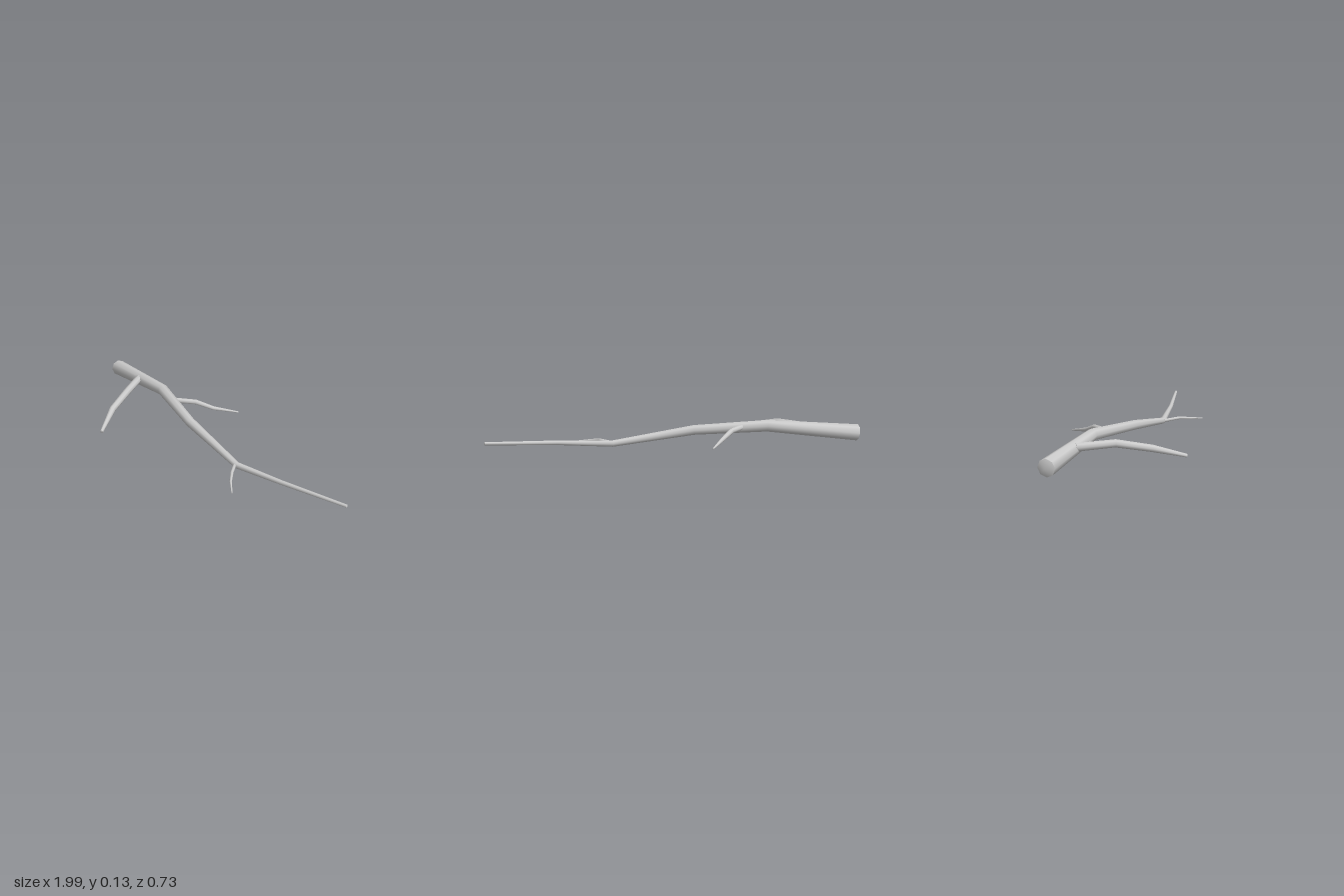
import * as THREE from 'three';
import { mergeVertices } from 'three/addons/utils/BufferGeometryUtils.js';

const SIDES = 8;
const UP = new THREE.Vector3(0, 1, 0);

// Tapered limb through joints given as [x, y, z, radius], with slightly domed end caps
function limb(name, joints, material, dome = 0.4) {
  const last = joints.length - 1;
  const centres = joints.map(([x, y, z]) => new THREE.Vector3(x, y, z));
  const frames = centres.map((c, i) => {
    const inDir = c.clone().sub(centres[Math.max(i - 1, 0)]).normalize();
    const outDir = centres[Math.min(i + 1, last)].clone().sub(c).normalize();
    const along = inDir.add(outDir).normalize();
    const side = along.clone().cross(UP).normalize();
    return { along, side, over: side.clone().cross(along) };
  });

  // Bend a unit cylinder so each of its rings sits on one joint
  let geometry = new THREE.CylinderGeometry(1, 1, 1, SIDES, last);
  geometry.deleteAttribute('uv');
  geometry = mergeVertices(geometry);
  const position = geometry.attributes.position;
  const v = new THREE.Vector3();
  for (let k = 0; k < position.count; k++) {
    v.fromBufferAttribute(position, k);
    const i = Math.round((v.y + 0.5) * last);
    const { along, side, over } = frames[i];
    const r = joints[i][3];
    const isCapCentre = Math.hypot(v.x, v.z) < 0.01;
    const push = isCapCentre ? (i === 0 ? -dome : dome) * r : 0;
    const p = centres[i].clone()
      .addScaledVector(side, v.x * r)
      .addScaledVector(over, v.z * r)
      .addScaledVector(along, push);
    position.setXYZ(k, p.x, p.y, p.z);
  }
  geometry.computeVertexNormals();

  const mesh = new THREE.Mesh(geometry, material);
  mesh.name = name;
  return mesh;
}

export function createModel() {
  const group = new THREE.Group();
  group.name = 'branch';
  const bark = new THREE.MeshStandardMaterial({ color: 0xcccccc });

  // Main stem, thick end at -x
  group.add(limb('mainStem', [
    [-0.98, 0.053, -0.11, 0.044],
    [-0.48, 0.102, -0.1, 0.031],
    [-0.1, 0.08, -0.025, 0.026],
    [0.33, 0.02, -0.015, 0.017],
    [0.62, 0.042, -0.067, 0.012],
    [0.99, 0.063, -0.158, 0.008],
  ], bark));

  // Large twig toward the front
  group.add(limb('frontTwig', [
    [-0.71, 0.09, -0.085, 0.021],
    [-0.59, 0.096, 0.067, 0.02],
    [-0.5, 0.064, 0.22, 0.018],
    [-0.387, 0.014, 0.357, 0.009],
  ], bark));

  // Twig toward the back
  group.add(limb('backTwig', [
    [-0.34, 0.096, -0.09, 0.015],
    [-0.265, 0.091, -0.177, 0.014],
    [-0.198, 0.059, -0.25, 0.011],
    [-0.122, 0.033, -0.365, 0.004],
  ], bark));

  // Small twig near the thin end
  group.add(limb('smallTwig', [
    [0.325, 0.022, -0.003, 0.009],
    [0.39, 0.03, 0.062, 0.008],
    [0.445, 0.021, 0.11, 0.006],
    [0.52, 0.01, 0.158, 0.003],
  ], bark));

  return group;
}
